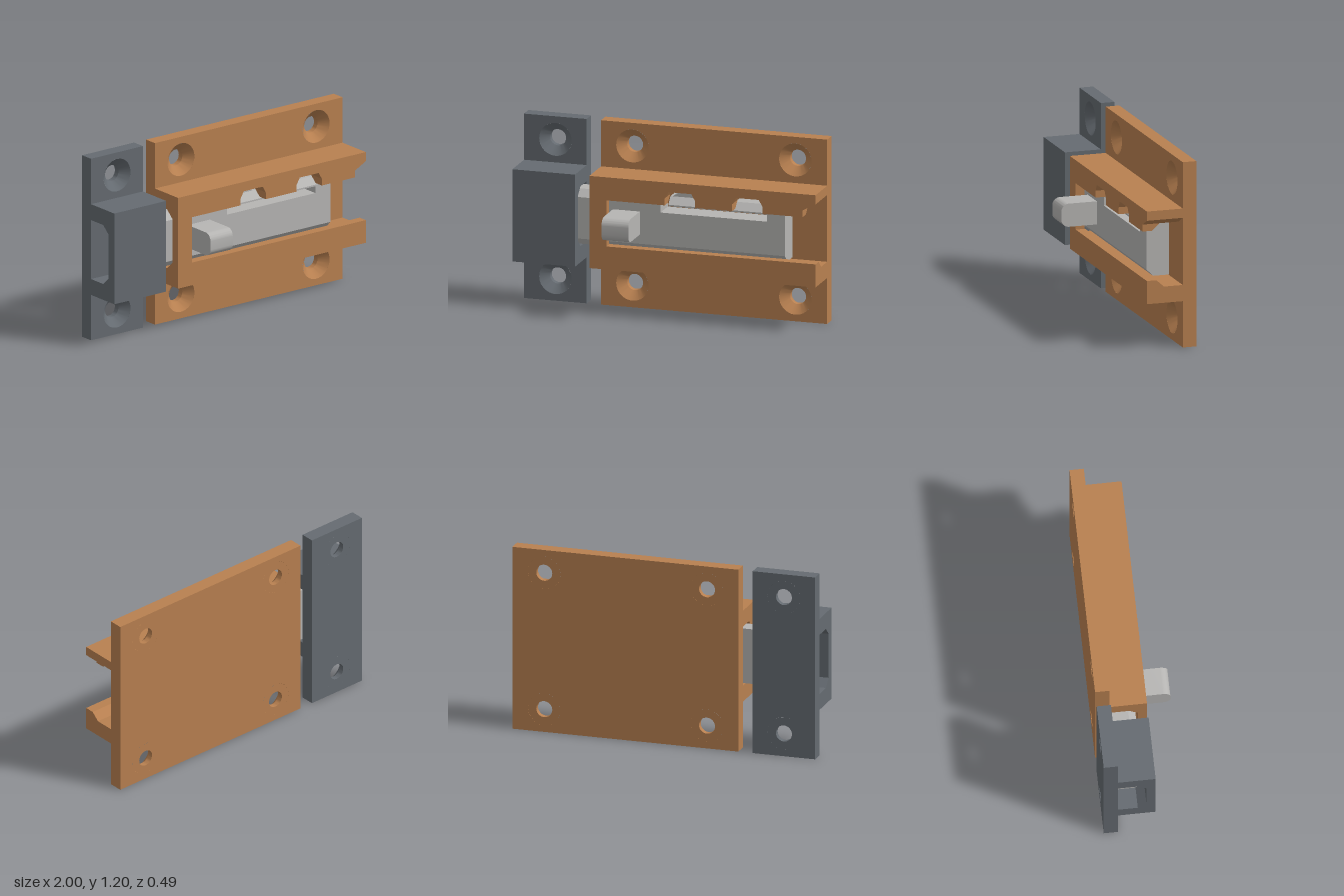
import * as THREE from 'three';
import { toCreasedNormals } from 'three/addons/utils/BufferGeometryUtils.js';

const BACK = -0.245, PLATE = -0.155, FRONT = 0.083; // depth levels in z
const HOLE = 0.053, SINK = 0.107;                   // screw hole radii

export function createModel() {
  const model = new THREE.Group();
  model.name = 'slideLatch';

  const mat = (name, color) => {
    const m = new THREE.MeshStandardMaterial({ color });
    m.name = name;
    return m;
  };
  const copper = mat('copper brown', 0xb88050);
  const steel = mat('light steel', 0xb6b5b3);
  const slate = mat('slate grey', 0x656b71);

  const add = (parent, name, geometry, material) => {
    const mesh = new THREE.Mesh(geometry, material);
    mesh.name = name;
    parent.add(mesh);
    return mesh;
  };
  const group = (name) => {
    const g = new THREE.Group();
    g.name = name;
    model.add(g);
    return g;
  };
  const polygon = (pts) => new THREE.Shape(pts.map(([x, y]) => new THREE.Vector2(x, y)));

  // Sweep a [z, y] shape along x; the shape's own x axis is -z
  const sweepX = (shape, x0, x1) =>
    new THREE.ExtrudeGeometry(shape, { depth: x1 - x0, bevelEnabled: false, curveSegments: 10 })
      .rotateY(Math.PI / 2).translate(x0, 0, 0);
  const prismX = (pts, x0, x1) => sweepX(polygon(pts.map(([z, y]) => [-z, y])), x0, x1);
  // Sweep an [x, y] shape along z
  const prismZ = (shape, z0, z1) =>
    new THREE.ExtrudeGeometry(shape, { depth: z1 - z0, bevelEnabled: false, curveSegments: 32 })
      .translate(0, 0, z0);

  // Mounting plate with countersunk screw holes
  function mountingPlate(parent, x0, x1, holeXs, material) {
    const shape = polygon([[x0, 0], [x1, 0], [x1, 1.2], [x0, 1.2]]);
    const sink = toCreasedNormals(new THREE.LatheGeometry([
      [SINK, PLATE], [HOLE, PLATE - 0.054], [HOLE, BACK], [SINK, BACK],
    ].map(([r, h]) => new THREE.Vector2(r, h)), 32).rotateX(Math.PI / 2), 0.5);
    for (const x of holeXs) for (const y of [0.15, 1.05]) {
      const hole = new THREE.Path();
      hole.absarc(x, y, SINK, 0, Math.PI * 2, true);
      shape.holes.push(hole);
      add(parent, 'countersink', sink, material).position.set(x, y, 0);
    }
    add(parent, 'mountingPlate', prismZ(shape, BACK, PLATE), material);
  }

  // C-shaped section of a bridge enclosing the bolt channel
  const bridge = [
    [PLATE, 0.3], [FRONT, 0.3], [FRONT, 0.9], [PLATE, 0.9], [PLATE, 0.795], [-0.03, 0.795],
    [0.025, 0.745], [0.025, 0.455], [-0.03, 0.405], [PLATE, 0.405],
  ];

  // Keeper that receives the bolt
  const keeper = group('keeper');
  mountingPlate(keeper, -1, -0.587, [-0.793], slate);
  add(keeper, 'keeperBridge', prismX(bridge, -1, -0.587), slate);

  // Latch housing
  const housing = group('housing');
  mountingPlate(housing, -0.492, 1, [-0.285, 0.79], copper);
  add(housing, 'endBridge', prismX(bridge, -0.492, -0.38), copper);
  add(housing, 'lowerRail', prismX([
    [PLATE, 0.3], [FRONT, 0.3], [FRONT, 0.45], [0.025, 0.45], [0.02, 0.45], [-0.03, 0.405], [PLATE, 0.405],
  ], -0.38, 1), copper);

  // Upper rail with detent notches and a flared entry
  const notch = (x) => [[x, 0.795], [x + 0.025, 0.838], [x + 0.175, 0.838], [x + 0.2, 0.795]];
  add(housing, 'upperRail', prismZ(polygon([
    [-0.38, 0.795], ...notch(0.005), ...notch(0.45), [0.915, 0.795], [1, 0.84], [1, 0.9], [-0.38, 0.9],
  ]), PLATE, FRONT), copper);
  for (const [x0, x1] of [[-0.38, 0.005], [0.205, 0.45], [0.65, 0.915]]) {
    add(housing, 'upperLip', prismX([
      [FRONT, 0.75], [FRONT, 0.795], [-0.03, 0.795], [0.02, 0.75],
    ], x0, x1), copper);
  }

  // Sliding bolt, slotted to leave a springy arm along its top
  const bolt = group('bolt');
  const boltSection = [
    [-0.14, 0.42], [-0.035, 0.42], [0.01, 0.465], [0.01, 0.735], [-0.035, 0.78], [-0.14, 0.78],
  ];
  add(bolt, 'boltNose', prismX(boltSection, -0.87, -0.047), steel);
  add(bolt, 'boltTail', prismX(boltSection, 0.655, 0.775), steel);
  add(bolt, 'boltMiddle', prismX([
    [-0.14, 0.42], [-0.035, 0.42], [0.01, 0.465], [0.01, 0.68], [-0.14, 0.68],
  ], -0.047, 0.655), steel);
  add(bolt, 'springArm', prismX([
    [-0.14, 0.725], [0.01, 0.725], [0.01, 0.735], [-0.035, 0.78], [-0.14, 0.78],
  ], 0.005, 0.655), steel);
  add(bolt, 'detentBump', prismZ(polygon([
    [0.02, 0.77], [0.19, 0.77], [0.19, 0.78], [0.125, 0.822], [0.085, 0.822], [0.02, 0.78],
  ]), -0.14, -0.035), steel);

  // Thumb knob with rounded front edges
  const knob = new THREE.Shape();
  const r = 0.05, tip = -0.245, low = 0.525, high = 0.675;
  knob.moveTo(0, low);
  knob.lineTo(0, high);
  knob.lineTo(tip + r, high);
  knob.absarc(tip + r, high - r, r, Math.PI / 2, Math.PI, false);
  knob.lineTo(tip, low + r);
  knob.absarc(tip + r, low + r, r, Math.PI, Math.PI * 1.5, false);
  knob.closePath();
  add(bolt, 'thumbKnob', toCreasedNormals(sweepX(knob, -0.36, -0.183), 0.5), steel);

  return model;
}
